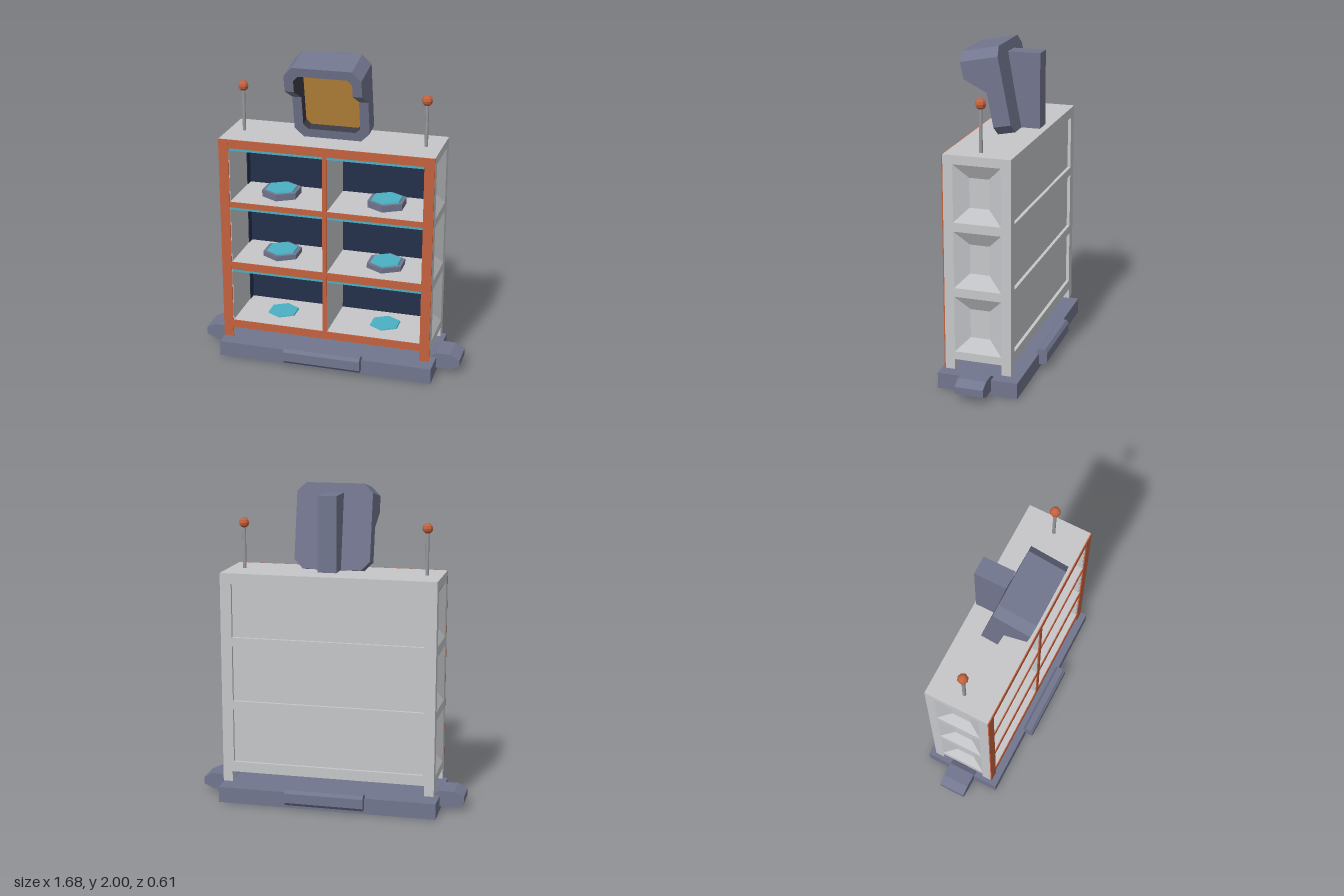
import * as THREE from 'three';

const mat = (name, color, extra = {}) => {
  const m = new THREE.MeshStandardMaterial({ color, ...extra });
  m.name = name;
  return m;
};

export function createModel() {
  const grey = mat('light grey', 0xc6c7ca);
  const slate = mat('slate', 0x72768e);
  const orange = mat('burnt orange', 0xc4623f);
  const navy = mat('navy', 0x232f4a);
  const teal = mat('teal', 0x4bb0c4);
  const amber = mat('amber', 0xba873b);
  const steel = mat('steel', 0x9a9b9e);
  const dark = mat('dark lining', 0x3a3b45);

  const model = new THREE.Group();
  model.name = 'displayCabinet';

  const add = (name, geometry, material, parent = model) => {
    const mesh = new THREE.Mesh(geometry, material);
    mesh.name = name;
    parent.add(mesh);
    return mesh;
  };
  // box given by its limits on each axis
  const box = (name, m, x0, x1, y0, y1, z0, z1, parent = model) => {
    const b = add(name, new THREE.BoxGeometry(x1 - x0, y1 - y0, z1 - z0), m, parent);
    b.position.set((x0 + x1) / 2, (y0 + y1) / 2, (z0 + z1) / 2);
    return b;
  };
  const vecs = (pts) => pts.map(([x, y]) => new THREE.Vector2(x, y));
  const rect = (x0, x1, y0, y1) => [[x0, y0], [x1, y0], [x1, y1], [x0, y1]];
  const plate = (outline, holes, depth) => {
    const shape = new THREE.Shape(vecs(outline));
    holes.forEach((h) => shape.holes.push(new THREE.Path(vecs(h))));
    return new THREE.ExtrudeGeometry(shape, { depth, bevelEnabled: false });
  };
  // faceted skin through rings of [x, y, z] points, with optional end caps
  const loft = (rings, capStart, capEnd) => {
    const p = [];
    for (let r = 0; r < rings.length - 1; r++) {
      const a = rings[r], b = rings[r + 1], n = a.length;
      for (let i = 0; i < n; i++) {
        const j = (i + 1) % n;
        p.push(...a[i], ...a[j], ...b[j], ...a[i], ...b[j], ...b[i]);
      }
    }
    const first = rings[0], last = rings[rings.length - 1];
    for (let i = 1; i < first.length - 1; i++) {
      if (capStart) p.push(...first[0], ...first[i + 1], ...first[i]);
      if (capEnd) p.push(...last[0], ...last[i], ...last[i + 1]);
    }
    const g = new THREE.BufferGeometry();
    g.setAttribute('position', new THREE.Float32BufferAttribute(p, 3));
    g.computeVertexNormals();
    return g;
  };
  const atZ = (pts, z) => pts.map(([x, y]) => [x, y, z]);

  // plinth with a bumper on each side
  box('base', slate, -0.69, 0.69, 0, 0.1, -0.25, 0.25);
  const bumper = (name, profile, width, angle) => {
    const g = plate(profile, [], width);
    g.translate(0, 0, -width / 2);
    add(name, g, slate).rotation.y = angle;
  };
  const sideProfile = [[0.64, 0.03], [0.78, 0.03], [0.84, 0.055], [0.84, 0.1],
    [0.78, 0.13], [0.69, 0.13], [0.64, 0.1]];
  const frontProfile = [[0.234, 0.05], [0.25, 0.03], [0.288, 0.03], [0.304, 0.05],
    [0.304, 0.11], [0.288, 0.13], [0.25, 0.13], [0.234, 0.11]];
  bumper('leftBumper', sideProfile, 0.175, 0);
  bumper('rightBumper', sideProfile, 0.175, Math.PI);
  bumper('frontBumper', frontProfile, 0.495, -Math.PI / 2);
  bumper('backBumper', frontProfile, 0.495, Math.PI / 2);

  // cabinet side walls: legs at the corners, three sunken panels each
  const rows = [[0.245, 0.595], [0.65, 1.0], [1.055, 1.405]];
  const wallOutline = [[-0.205, 0.13], [-0.145, 0.13], [-0.145, 0.195], [0.145, 0.195],
    [0.145, 0.13], [0.205, 0.13], [0.205, 1.46], [-0.205, 1.46]];
  for (const side of [1, -1]) {
    const wall = new THREE.Group();
    wall.name = side > 0 ? 'leftWall' : 'rightWall';
    wall.rotation.y = side * Math.PI / 2;
    model.add(wall);
    const holes = rows.map(([a, b]) => rect(-0.145, 0.145, a, b));
    add('wallFrame', plate(wallOutline, holes, 0.06), grey, wall).position.z = 0.61;
    rows.forEach(([a, b]) => add('sunkenPanel', loft([
      atZ(rect(-0.145, 0.145, a, b), 0.67),
      atZ(rect(-0.06, 0.06, a + 0.085, b - 0.085), 0.625),
    ], false, true), grey, wall));
    box('wallLining', grey, -0.2, 0.2, 0.2, 1.45, 0.606, 0.613, wall);
    const strip = side > 0 ? [0.11, 0.165] : [-0.165, -0.11];
    box('wallStrip', navy, ...strip, 0.245, 1.4, 0.602, 0.607, wall);
  }

  // back with three shallow recesses, and the dark inner back
  const backFrame = plate(rect(-0.61, 0.61, 0.195, 1.46),
    [[0.26, 0.6], [0.655, 1.005], [1.06, 1.395]].map(([a, b]) => rect(-0.6, 0.6, a, b)), 0.022);
  add('backFrame', backFrame, grey).position.z = -0.205;
  box('backPanel', grey, -0.61, 0.61, 0.2, 1.45, -0.185, -0.172);
  box('innerBack', navy, -0.61, 0.61, 0.2, 1.45, -0.172, -0.165);

  // top, shelves and divider with orange front edges and teal strips
  const levels = [[0.195, 0.245], [0.6, 0.65], [1.02, 1.055], [1.405, 1.46]];
  levels.forEach(([a, b], i) => {
    box(i === 3 ? 'cabinetTop' : 'shelf', grey, -0.61, 0.61, a, b, -0.183, 0.205);
    box('shelfEdge', orange, -0.61, 0.61, a, b, 0.205, 0.211);
    if (i > 0) box('lightStrip', teal, -0.606, 0.606, a - 0.016, a, 0.185, 0.207);
  });
  box('divider', grey, -0.013, 0.013, 0.2, 1.41, -0.168, 0.205);
  box('dividerEdge', orange, -0.014, 0.014, 0.195, 1.405, 0.205, 0.212);
  box('leftPost', orange, 0.608, 0.67, 0.13, 1.46, 0.205, 0.212);
  box('rightPost', orange, -0.67, -0.608, 0.13, 1.46, 0.205, 0.212);

  // hexagonal display pads
  for (const x of [-0.338, 0.338]) {
    [[0.245, 0], [0.65, 0.032], [1.055, 0.042]].forEach(([y, h]) => {
      if (h) {
        const pad = add('displayPad', new THREE.CylinderGeometry(0.125, 0.125, h, 6).toNonIndexed(), slate);
        pad.geometry.computeVertexNormals();
        pad.position.set(x, y + h / 2, 0);
      }
      const top = add('padTop', new THREE.CylinderGeometry(0.098, 0.102, 0.009, 6).toNonIndexed(), teal);
      top.geometry.computeVertexNormals();
      top.position.set(x, y + h + 0.0045, 0);
    });
  }

  // antennas
  for (const x of [-0.573, 0.573]) {
    add('antennaPole', new THREE.CylinderGeometry(0.011, 0.011, 0.28, 8), steel).position.set(x, 1.595, 0.005);
    const ball = add('antennaBall', new THREE.SphereGeometry(0.033, 8, 6).toNonIndexed(), orange);
    ball.geometry.computeVertexNormals();
    ball.position.set(x, 1.745, 0.005);
  }

  // tilted hooded monitor: chamfered outline with extra points where the hood steps out
  const outline = (w, y0, y1, c) => [[w - c, y0], [w, y0 + c], [w, 0.267], [w, 0.367],
    [w, y1 - c], [w - c, y1], [c - w, y1], [-w, y1 - c], [-w, 0.367], [-w, 0.267],
    [-w, y0 + c], [c - w, y0]];
  const hooded = (pts) => pts.map(([x, y]) =>
    [x, y, THREE.MathUtils.mapLinear(THREE.MathUtils.clamp(y, 0.267, 0.367), 0.267, 0.367, 0.11, 0.238)]);
  const outer = outline(0.235, 0, 0.525, 0.055);
  const inner = outline(0.178, 0.055, 0.47, 0.03);
  const monitor = new THREE.Group();
  monitor.name = 'monitor';
  monitor.position.set(0, 1.485, -0.074);
  monitor.rotation.x = 0.194;
  model.add(monitor);
  add('monitorShell', loft([atZ(outer, 0), hooded(outer), hooded(inner)], true, false), slate, monitor);
  add('monitorLining', loft([hooded(inner), atZ(inner, 0.045)], false, false), dark, monitor);
  add('screen', loft([atZ(inner, 0.045)], false, true), amber, monitor);

  // support block behind the monitor, its front following the tilt
  const bracket = plate([[0.19, 1.485], [0.19, 1.945], [-0.01, 1.945], [0.07, 1.485]], [], 0.115);
  bracket.rotateY(Math.PI / 2);
  bracket.translate(-0.0575, 0, 0);
  add('monitorBracket', bracket, slate);

  return model;
}
